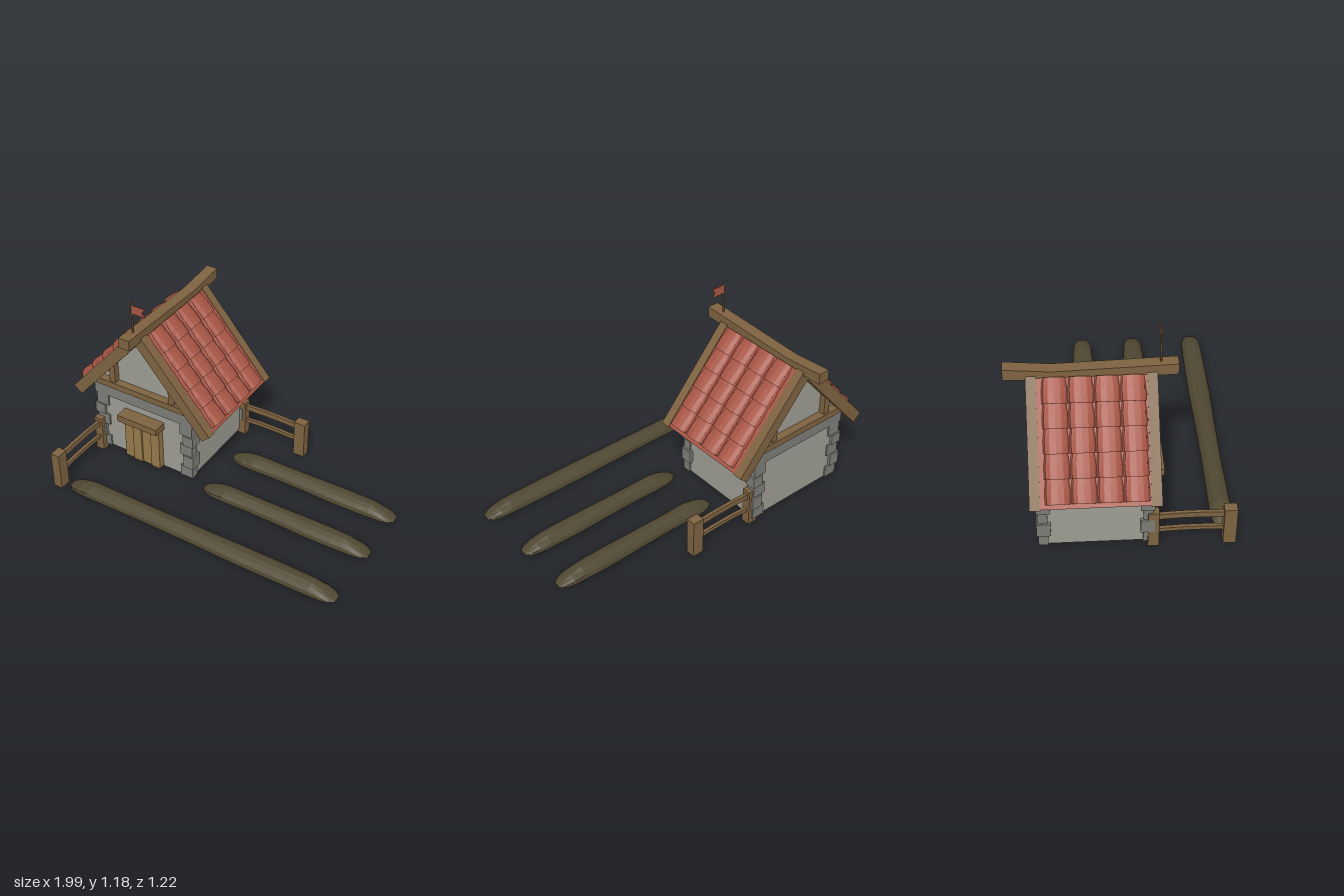
import * as THREE from 'three';

const mat = (color) => new THREE.MeshStandardMaterial({ color, flatShading: true, side: THREE.DoubleSide });
const WOOD = mat(0x7d6240), DOOR = mat(0x957848), TILE = mat(0xa65545);
const WALL = mat(0x9c9c92), STONE = mat(0x7c7c77), SOIL = mat(0x4f4731);

function add(parent, name, geometry, material) {
  const mesh = new THREE.Mesh(geometry, material);
  mesh.name = name;
  parent.add(mesh);
  return mesh;
}

// Box given by its lower and upper limits on each axis
function box(parent, name, material, [x0, x1], [y0, y1], [z0, z1]) {
  const mesh = add(parent, name, new THREE.BoxGeometry(x1 - x0, y1 - y0, z1 - z0), material);
  mesh.position.set((x0 + x1) / 2, (y0 + y1) / 2, (z0 + z1) / 2);
  return mesh;
}

function group(parent, name) {
  const g = new THREE.Group();
  g.name = name;
  parent.add(g);
  return g;
}

// Skin a row of closed rings (even point count) and cap both ends
function loft(rings) {
  const n = rings[0].length, last = (rings.length - 1) * n, index = [];
  for (let k = 0; k < rings.length - 1; k++) {
    for (let i = 0; i < n; i++) {
      const a = k * n + i, b = k * n + (i + 1) % n;
      index.push(a, b, b + n, a, b + n, a + n);
    }
  }
  for (let i = 0; i < n / 2 - 1; i++) {
    const a = i, b = i + 1, c = n - 2 - i, d = n - 1 - i;
    index.push(a, c, b, a, d, c);
    index.push(last + a, last + b, last + c, last + a, last + c, last + d);
  }
  const g = new THREE.BufferGeometry();
  g.setAttribute('position', new THREE.Float32BufferAttribute(rings.flat(2), 3));
  g.setIndex(index);
  const flat = g.toNonIndexed();
  flat.computeVertexNormals();
  return flat;
}

// Half-round arc across the x axis
function arc(x, halfWidth, height, base, steps) {
  return Array.from({ length: steps + 1 }, (_, i) => {
    const t = -Math.PI / 2 + (Math.PI * i) / steps;
    return [x, base + height * Math.cos(t), halfWidth * Math.sin(t)];
  });
}

// Curved roof tile, thick and wide at its lower end
function tileGeometry() {
  const stations = [[0, 0.065, 0.042], [0.065, 0.0665, 0.035], [0.135, 0.058, 0.022]];
  return loft(stations.map(([x, w, h]) => [
    ...arc(x, w, h, 0, 6),
    ...arc(x, w - 0.009, h - 0.009, 0, 6).reverse(),
  ]));
}

// One roof slope; local x runs up the slope and local y points out of it
function buildSlope(house, side) {
  const turn = group(house, side > 0 ? 'rightRoofSlope' : 'leftRoofSlope');
  turn.rotation.y = side > 0 ? 0 : Math.PI;
  const slope = group(turn, 'slope');
  slope.position.set(-0.475, 0.42, 0);
  slope.rotation.z = Math.atan2(0.76, 0.65);
  const span = (a, b) => (side > 0 ? [a, b] : [-b, -a]);
  box(slope, 'roofPanel', TILE, [0.005, 0.67], [-0.025, 0], span(-0.445, 0.13));
  box(slope, 'frontRafter', WOOD, [0, 0.68], [-0.065, 0.003], span(0.125, 0.181));
  box(slope, 'backRafter', WOOD, [0, 0.68], [-0.065, 0.003], span(-0.495, -0.44));
  const tile = tileGeometry();
  for (let row = 0; row < 5; row++) {
    for (let col = 0; col < 4; col++) {
      const t = add(slope, 'roofTile', tile, TILE);
      t.position.set(0.03 + row * 0.127, 0, side * (0.052 - col * 0.134));
    }
  }
}

function buildHouse(root) {
  const house = group(root, 'house');
  house.position.x = -0.51;
  box(house, 'walls', WALL, [-0.325, 0.325], [0.03, 0.42], [-0.452, 0.138]);
  box(house, 'stoneBand', STONE, [-0.347, 0.347], [0.41, 0.497], [-0.462, 0.148]);

  // Alternating corner stones
  const tiers = [0.03, 0.105, 0.19, 0.265, 0.335, 0.41];
  for (const sx of [-1, 1]) for (const sz of [-1, 1]) for (let i = 0; i < 5; i++) {
    const even = i % 2 === 0;
    const w = even ? 0.083 : 0.068, d = even ? 0.052 : 0.075;
    const h = tiers[i + 1] - tiers[i];
    const q = add(house, 'cornerStone', new THREE.BoxGeometry(w, h, d), STONE);
    q.position.set(sx * ((even ? 0.336 : 0.346) - w / 2), tiers[i] + h / 2,
      -0.157 + sz * ((even ? 0.305 : 0.313) - d / 2));
  }

  // Gable infill and its timbers
  const tri = new THREE.Shape([[-0.335, 0.49], [0.335, 0.49], [0, 0.885]].map((p) => new THREE.Vector2(...p)));
  const gable = add(house, 'gable', new THREE.ExtrudeGeometry(tri, { depth: 0.55, bevelEnabled: false }), WALL);
  gable.position.z = -0.432;
  for (const [z0, z1] of [[0.105, 0.165], [-0.48, -0.42]]) {
    box(house, 'gableBeam', WOOD, [-0.365, 0.365], [0.495, 0.535], [z0, z1]);
    for (const x of [-0.205, 0.205]) {
      box(house, 'gablePost', WOOD, [x - 0.02, x + 0.02], [0.535, 0.66], [z0 + 0.01, z1 - 0.01]);
    }
  }

  buildSlope(house, 1);
  buildSlope(house, -1);

  // Sagging ridge beam
  const ridge = [[-0.61, 0.92, 0.985], [-0.36, 0.906, 0.963], [0.29, 0.92, 0.985]];
  add(house, 'ridgeBeam', loft(ridge.map(([z, lo, hi]) =>
    [[-0.035, lo, z], [0.035, lo, z], [0.035, hi, z], [-0.035, hi, z]])), WOOD);

  // Plank door with lintel
  const door = group(house, 'door');
  box(door, 'doorBacking', WOOD, [-0.12, 0.12], [0.035, 0.318], [0.13, 0.163]);
  for (let i = 0; i < 4; i++) {
    const x = -0.125 + i * 0.063;
    box(door, 'doorPlank', DOOR, [x, x + 0.06], [0.033, 0.318], [0.13, 0.172 + (i % 2) * 0.007]);
  }
  box(door, 'doorLintel', WOOD, [-0.138, 0.138], [0.317, 0.36], [0.13, 0.222]);

  // Swallow-tailed flag
  const pole = add(house, 'flagPole', new THREE.CylinderGeometry(0.006, 0.006, 0.215, 6), WOOD);
  pole.position.set(0, 1.0775, 0.2);
  const cloth = new THREE.Shape([[0, 1.105], [0.09, 1.105], [0.068, 1.132], [0.09, 1.16], [0, 1.16]]
    .map((p) => new THREE.Vector2(...p)));
  const flag = add(house, 'flag', new THREE.ExtrudeGeometry(cloth, { depth: 0.006, bevelEnabled: false }), TILE);
  flag.position.z = 0.197;
}

// Fence running along local x from a post at the house corner
function buildFence(root, name, x, z, angle) {
  const fence = group(root, name);
  fence.position.set(x, 0, z);
  fence.rotation.y = angle;
  box(fence, 'innerPost', WOOD, [-0.03, 0.03], [0, 0.235], [-0.027, 0.027]);
  box(fence, 'outerPost', WOOD, [0.375, 0.445], [0, 0.24], [-0.028, 0.028]);
  for (const [lo, hi] of [[0.18, 0.215], [0.088, 0.112]]) {
    const rings = [[0.02, -0.003], [0.14, 0.004], [0.27, 0.004], [0.39, -0.001]].map(([s, bow]) =>
      [[s, lo + bow, -0.01], [s, hi + bow, -0.01], [s, hi + bow, 0.01], [s, lo + bow, 0.01]]);
    add(fence, 'fenceRail', loft(rings), WOOD);
  }
}

// Rounded mound of soil, tapering at both ends
function buildFurrow(root, x0, x1, z) {
  const ends = [[0, 0.025, 0.004], [0.03, 0.048, 0.018], [0.08, 0.059, 0.04], [0.15, 0.062, 0.057]];
  const mid = [0.3, 0.5, 0.65, 0.8].map((f) =>
    [x0 + (x1 - x0) * f, 0.062 + 0.005 * Math.sin(f * 9 + 1.5), 0.058]);
  const stations = [
    ...ends.map(([d, w, h]) => [x0 + d, w, h]), ...mid,
    ...ends.map(([d, w, h]) => [x1 - d, w, h]).reverse(),
  ];
  const mound = add(root, 'furrow', loft(stations.map(([x, w, h]) => arc(x, w, h, 0.021, 7))), SOIL);
  mound.position.z = z;
}

export function createModel() {
  const root = new THREE.Group();
  root.name = 'farmhouse';
  buildHouse(root);
  buildFence(root, 'frontFence', -0.828, 0.15, -Math.PI / 2);
  buildFence(root, 'sideFence', -0.178, -0.428, 0);
  buildFurrow(root, -0.76, 0.99, 0.54);
  buildFurrow(root, -0.08, 0.99, 0.157);
  buildFurrow(root, -0.08, 0.99, -0.17);
  return root;
}
